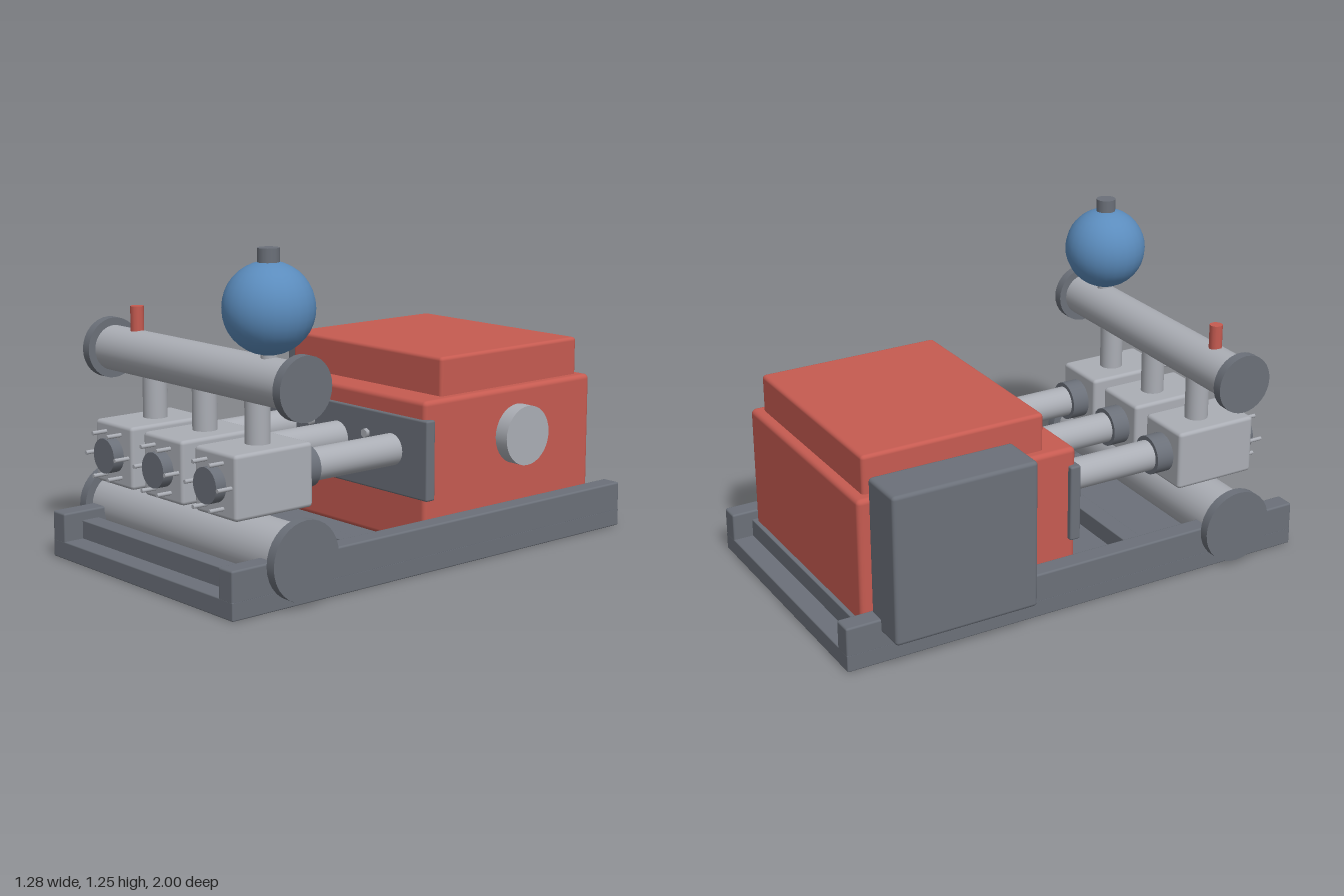
import * as THREE from 'three';
import { RoundedBoxGeometry } from 'three/addons/geometries/RoundedBoxGeometry.js';

export function createModel() {
  const root = new THREE.Group();
  root.name = 'tripletPump';

  const paint = (name, color) => {
    const m = new THREE.MeshStandardMaterial({ color });
    m.name = name;
    return m;
  };
  const steel = paint('lightSteel', 0xabaeb5);
  const iron = paint('darkIron', 0x6b7079);
  const red = paint('redPaint', 0xc65b51);
  const blue = paint('bluePaint', 0x5b8cbd);

  const add = (name, geometry, material, parent = root) => {
    const mesh = new THREE.Mesh(geometry, material);
    mesh.name = name;
    parent.add(mesh);
    return mesh;
  };
  // Box given by its limits along each axis
  const box = (name, material, [x0, x1], [y0, y1], [z0, z1], r = 0.008, parent = root) => {
    const mesh = add(name, new RoundedBoxGeometry(x1 - x0, y1 - y0, z1 - z0, 2, r), material, parent);
    mesh.position.set((x0 + x1) / 2, (y0 + y1) / 2, (z0 + z1) / 2);
    return mesh;
  };
  // Cylinder along an axis; (x, y, z) is its centre
  const rod = (name, material, axis, r, length, x, y, z, sides = 32, parent = root) => {
    const g = new THREE.CylinderGeometry(r, r, length, sides);
    if (axis === 'x') g.rotateZ(Math.PI / 2);
    if (axis === 'z') g.rotateX(Math.PI / 2);
    const mesh = add(name, g, material, parent);
    mesh.position.set(x, y, z);
    return mesh;
  };

  // Skid: plate, two rails and three cross members
  box('skidPlate', iron, [-0.52, 0.6], [0, 0.07], [-1, 1], 0.005);
  box('rightRail', iron, [-0.52, -0.44], [0.06, 0.18], [-1, 1]);
  box('leftRail', iron, [0.52, 0.6], [0.06, 0.18], [-1, 1]);
  for (const z of [-0.88, 0.315, 0.88]) {
    box('crossMember', iron, [-0.45, 0.53], [0.06, 0.142], [z - 0.038, z + 0.038], 0.004);
  }

  // Power end: crankcase, raised cover, front plate, gear case and shaft hub
  box('crankcase', red, [-0.44, 0.516], [0.07, 0.63], [-0.9, 0.015], 0.02);
  box('crankcaseCover', red, [-0.4, 0.476], [0.6, 0.78], [-0.86, -0.105], 0.015);
  box('frontPlate', iron, [-0.462, 0.536], [0.25, 0.56], [-0.02, 0.025], 0.008);
  box('gearCase', iron, [-0.64, -0.443], [0.125, 0.72], [-0.86, -0.27], 0.015);
  rod('shaftHub', steel, 'x', 0.118, 0.075, 0.538, 0.443, -0.48);
  for (const x of [-0.126, 0.2]) rod('plateBolt', steel, 'z', 0.018, 0.025, x, 0.465, 0.03, 6);

  // Fluid end: three identical plunger lines
  for (const x of [-0.275, 0.038, 0.35]) {
    const line = new THREE.Group();
    line.name = 'plungerLine';
    line.position.x = x;
    root.add(line);
    rod('plunger', steel, 'z', 0.062, 0.44, 0, 0.426, 0.255, 32, line);
    rod('packingCollar', iron, 'z', 0.079, 0.08, 0, 0.426, 0.492, 32, line);
    box('valveBlock', steel, [-0.12, 0.12], [0.304, 0.544], [0.525, 0.88], 0.015, line);
    rod('valveCover', iron, 'z', 0.067, 0.05, 0, 0.424, 0.9, 32, line);
    for (let i = 0; i < 6; i++) {
      const a = (i * Math.PI) / 3;
      rod('coverBolt', steel, 'z', 0.008, 0.07, 0.095 * Math.cos(a),
        0.424 + 0.095 * Math.sin(a), 0.907, 8, line);
    }
    rod('dischargePipe', steel, 'y', 0.047, 0.22, 0, 0.64, 0.685, 24, line);
    rod('suctionPipe', steel, 'y', 0.047, 0.08, 0, 0.275, 0.685, 24, line);
  }

  // Manifolds with end flanges
  const manifold = (name, y, r, flangeR) => {
    rod(name, steel, 'x', r, 1.16, 0.04, y, 0.7);
    for (const x of [-0.541, 0.62]) rod(name + 'Flange', iron, 'x', flangeR, 0.04, x, y, 0.7);
  };
  manifold('dischargeManifold', 0.782, 0.088, 0.118);
  manifold('suctionManifold', 0.169, 0.117, 0.149);

  // Pulsation damper and relief valve
  rod('damperNeck', steel, 'y', 0.03, 0.08, 0.437, 0.87, 0.7, 16);
  add('pulsationDamper', new THREE.SphereGeometry(0.167, 24, 18), blue).position.set(0.437, 1.043, 0.7);
  rod('damperCap', iron, 'y', 0.04, 0.07, 0.437, 1.22, 0.7, 16);
  rod('reliefValve', red, 'y', 0.026, 0.12, -0.362, 0.903, 0.7, 12);

  return root;
}
